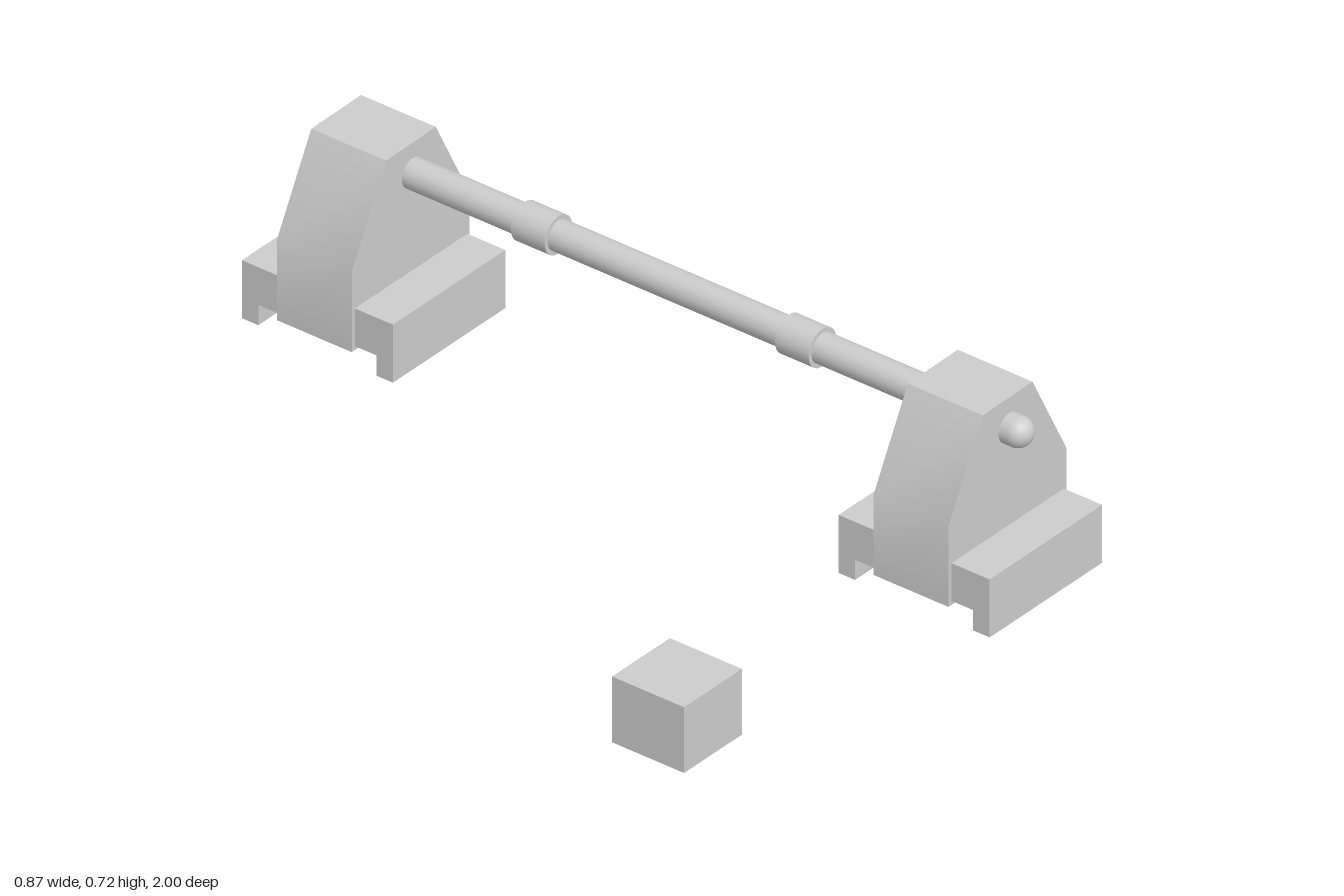
import * as THREE from 'three';
import { toCreasedNormals } from 'three/addons/utils/BufferGeometryUtils.js';

const material = new THREE.MeshStandardMaterial({ color: 0xcccccc });
const openMaterial = new THREE.MeshStandardMaterial({ color: 0xcccccc, side: THREE.DoubleSide });

const ROD_X = 0.245, ROD_Y = 0.645, ROD_R = 0.036;

function add(parent, name, geometry, mat = material) {
  const mesh = new THREE.Mesh(geometry, mat);
  mesh.name = name;
  parent.add(mesh);
  return mesh;
}

function extrude(points, depth) {
  const shape = new THREE.Shape(points.map(([x, y]) => new THREE.Vector2(x, y)));
  return new THREE.ExtrudeGeometry(shape, { depth, bevelEnabled: false });
}

// Tapered tower standing on a channel-shaped foot, centred on z = 0
function createSupport() {
  const support = new THREE.Group();
  const tower = extrude([
    [0.042, 0.302], [0.435, 0.302], [0.435, 0.502],
    [0.322, 0.72], [0.156, 0.718], [0.042, 0.502],
  ], 0.2).translate(0, 0, -0.1);
  add(support, 'tower', toCreasedNormals(tower, 0.7));

  // Foot profile runs across z, extruded along x
  const foot = extrude([
    [-0.202, 0.262], [-0.158, 0.262], [-0.158, 0.312], [0.158, 0.312],
    [0.158, 0.262], [0.202, 0.262], [0.202, 0.405], [-0.202, 0.405],
  ], 0.375).rotateY(Math.PI / 2).translate(0.052, 0, 0);
  add(support, 'foot', foot);
  return support;
}

export function createModel() {
  const model = new THREE.Group();
  model.name = 'barrierRail';

  for (const side of [1, -1]) {
    const support = createSupport();
    support.name = side > 0 ? 'frontSupport' : 'backSupport';
    support.position.z = side * 0.798;
    model.add(support);

    // Sleeve around the rod
    const collar = new THREE.CylinderGeometry(0.046, 0.046, 0.09, 32).rotateX(Math.PI / 2);
    add(model, side > 0 ? 'frontCollar' : 'backCollar', collar)
      .position.set(ROD_X, ROD_Y, side * 0.353);
  }

  // Round-ended rod running through both towers
  const rod = new THREE.CapsuleGeometry(ROD_R, 1.842, 12, 32).rotateX(Math.PI / 2);
  add(model, 'rod', rod).position.set(ROD_X, ROD_Y, 0);

  // Separate box, open underneath: drop the bottom face from the index
  const box = new THREE.BoxGeometry(0.193, 0.162, 0.193);
  const index = Array.from(box.index.array);
  index.splice(18, 6);
  box.setIndex(index);
  box.clearGroups();
  add(model, 'openBox', box, openMaterial).position.set(-0.34, 0.081, 0.478);

  return model;
}
